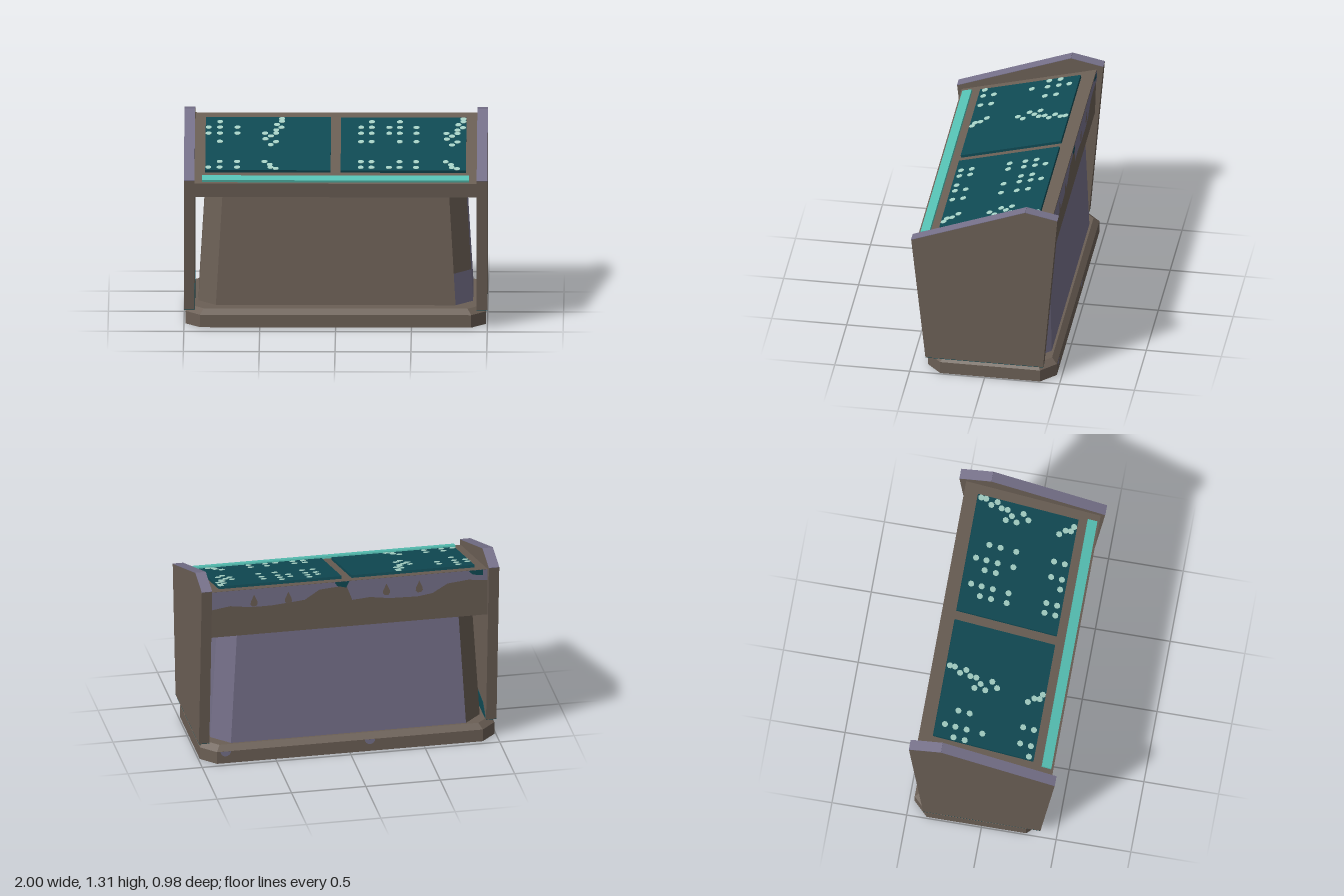
import * as THREE from 'three';

const mat = (name, color) => {
  const m = new THREE.MeshStandardMaterial({ color });
  m.name = name;
  return m;
};

const shapeOf = pts => new THREE.Shape(pts.map(([a, b]) => new THREE.Vector2(a, b)));

// Extrudes a [z, y] profile along x, centred on x = cx
function extrudeX(pts, width, cx = 0) {
  const g = new THREE.ExtrudeGeometry(shapeOf(pts), { depth: width, bevelEnabled: false });
  g.translate(0, 0, -width / 2);
  g.rotateY(-Math.PI / 2);
  g.translate(cx, 0, 0);
  return g;
}

// Octagonal outline: half width, front, back, corner cut
const octagon = ([y, X, F, B, c]) => [
  [X - c, y, F], [X, y, F - c], [X, y, B + c], [X - c, y, B],
  [c - X, y, B], [-X, y, B + c], [-X, y, F - c], [c - X, y, F],
];

// Joins octagonal rings; pick(level, side) gives the material index
function loft(rings, pick = () => 0) {
  const r = rings.map(octagon), pos = [], g = new THREE.BufferGeometry();
  const add = (index, ...p) => {
    g.addGroup(pos.length / 3, p.length, index);
    p.forEach(v => pos.push(...v));
  };
  for (let l = 0; l < r.length - 1; l++) {
    for (let i = 0; i < 8; i++) {
      const j = (i + 1) % 8, a = r[l][i], b = r[l][j], c = r[l + 1][j], d = r[l + 1][i];
      add(pick(l, i), a, b, c, a, c, d);
    }
  }
  const bottom = r[0], top = r[r.length - 1];
  for (let i = 1; i < 7; i++) {
    add(0, top[0], top[i], top[i + 1]);
    add(0, bottom[0], bottom[i + 1], bottom[i]);
  }
  g.setAttribute('position', new THREE.Float32BufferAttribute(pos, 3));
  g.computeVertexNormals();
  return g;
}

export function createModel() {
  const brown = mat('brown casing', 0x6b5f55);
  const purple = mat('purple grey metal', 0x76718a);
  const screenTeal = mat('dark teal screen', 0x0f4a54);
  const stripTeal = mat('bright teal strip', 0x56c2b5);
  const pale = mat('pale green marks', 0xa6d2c6);

  const model = new THREE.Group();
  const add = (name, geometry, material, parent = model) => {
    const m = new THREE.Mesh(geometry, material);
    m.name = name;
    parent.add(m);
    return m;
  };

  // Base plinth with bevelled upper rim
  add('base', loft([
    [0, 0.99, 0.395, -0.465, 0.097],
    [0.085, 0.99, 0.395, -0.465, 0.097],
    [0.12, 0.955, 0.36, -0.43, 0.085],
  ]), [brown]);

  // Tapered pedestal; back and one flank are bare metal
  const low = [0.12, 0.905, 0.275, -0.415, 0.115];
  const high = [0.91, 0.857, 0.215, -0.39, 0.113];
  const mid = low.map((v, i) => THREE.MathUtils.lerp(v, high[i], 0.267));
  add('pedestal', loft([low, mid, high],
    (level, side) => (side >= 1 && side <= 3) || (side === 0 && level === 0) ? 1 : 0), [brown, purple]);

  // Side panels with metal top edges and teal undersides
  const outline = [[0.395, 0.12], [0.49, 1.025], [-0.27, 1.31], [-0.485, 1.265], [-0.39, 0.12]];
  const edgePlate = ([a, b], [c, d], t) => {
    const n = new THREE.Vector2(b - d, c - a).normalize().multiplyScalar(t);
    if (n.y * t < 0) n.negate();
    return [[a, b], [c, d], [c + n.x, d + n.y], [a + n.x, b + n.y]];
  };
  for (const s of [-1, 1]) {
    const panel = new THREE.Group();
    panel.name = s > 0 ? 'leftSidePanel' : 'rightSidePanel';
    const x = s * 0.965;
    add('panelBody', extrudeX(outline, 0.07, x), brown, panel);
    add('slopedTopEdge', extrudeX(edgePlate(outline[1], outline[2], 0.003), 0.07, x), purple, panel);
    add('rearTopEdge', extrudeX(edgePlate(outline[2], outline[3], 0.003), 0.07, x), purple, panel);
    add('underside', extrudeX([[0.395, 0.117], [0.395, 0.12], [-0.39, 0.12], [-0.39, 0.117]], 0.07, x), screenTeal, panel);
    model.add(panel);
  }
  add('innerPanelPatch', extrudeX([
    [0.395, 0.12], [0.408, 0.26], [0.32, 0.25], [0.22, 0.23], [0.1, 0.24],
    [-0.1, 0.22], [-0.3, 0.2], [-0.36, 0.15], [-0.375, 0.12],
  ], 0.004, -0.929), screenTeal);

  // Wedge-shaped console
  add('console', extrudeX([[0.45, 0.905], [0.46, 1.0], [-0.44, 1.24], [-0.43, 0.905]], 1.86), brown);

  // Everything on the sloping desk, placed by its plan position
  const desk = new THREE.Group();
  desk.name = 'desk';
  const slope = Math.atan2(0.24, 0.9), stretch = 1 / Math.cos(slope);
  desk.position.set(0, 1.12, 0.01);
  desk.rotation.x = slope;
  model.add(desk);
  const onDesk = (mesh, x, y, z) => mesh.position.set(x, y, (z - 0.01) * stretch);

  for (const x of [-0.447, 0.445]) {
    onDesk(add('screen', new THREE.BoxGeometry(0.826, 0.018, 0.67 * stretch), screenTeal, desk), x, 0.009, -0.015);
  }
  onDesk(add('lightStrip', new THREE.BoxGeometry(1.76, 0.016, 0.062 * stretch), stripTeal, desk), 0, 0.008, 0.412);

  // Screen marks, row by row: [z, x positions]
  const dotGeo = new THREE.CylinderGeometry(0.021, 0.021, 0.004, 8);
  dotGeo.rotateY(Math.PI / 8);
  const dot = (x, z) => onDesk(add('screenMark', dotGeo, pale, desk), x, 0.019, z);
  const rows = [
    [-0.29, [-0.765, 0.235, 0.42]],
    [-0.22, [-0.84, -0.765, -0.65, 0.165, 0.235, 0.35, 0.42, 0.53]],
    [-0.145, [-0.84, -0.765, -0.65, 0.165, 0.235, 0.35, 0.42, 0.53]],
    [-0.04, [-0.765, 0.165, 0.235, 0.42, 0.53]],
    [0.213, [-0.765, -0.65, 0.165, 0.235, 0.42, 0.53]],
    [0.285, [-0.84, -0.765, -0.65, 0.165, 0.235, 0.35, 0.42, 0.53]],
  ];
  rows.forEach(([z, xs]) => xs.forEach(x => dot(x, z)));

  // Winding trace repeated on both screens
  const trace = [
    [-0.357, -0.328], [-0.357, -0.295], [-0.39, -0.255], [-0.36, -0.218], [-0.395, -0.185], [-0.395, -0.145],
    [-0.43, -0.11], [-0.468, -0.145], [-0.465, -0.073], [-0.395, -0.038], [-0.43, 0],
    [-0.47, 0.213], [-0.435, 0.25], [-0.43, 0.285], [-0.395, 0.3],
  ];
  trace.forEach(([x, z]) => { dot(x, z); dot(x + 1.195, z); });

  // Flat plates on the rear, drawn as seen from behind
  const rearPlate = (name, geometry, material, x, y, z) => {
    const m = add(name, geometry, material);
    m.rotation.y = Math.PI;
    m.position.set(x, y, z);
    return m;
  };
  const worn = [
    [-0.93, 0], [-0.93, -0.13], [-0.8, -0.11], [-0.66, -0.13], [-0.52, -0.13], [-0.3, -0.11], [-0.2, -0.045],
    [-0.02, -0.03], [0.02, -0.14], [0.14, -0.13], [0.27, -0.15], [0.46, -0.155], [0.56, -0.14],
    [0.66, -0.08], [0.8, -0.065], [0.93, -0.08], [0.93, 0],
  ];
  rearPlate('rearWornMetal', new THREE.ShapeGeometry(shapeOf(worn)), purple, 0, 1.24, -0.443);
  rearPlate('rearTealPatch', new THREE.ShapeGeometry(shapeOf([[-0.1, 0], [-0.08, -0.03], [-0.02, -0.045], [0, 0]])), screenTeal, 0, 1.24, -0.445);
  rearPlate('rearTealPatch', new THREE.ShapeGeometry(shapeOf([[0.8, 0], [0.83, -0.03], [0.9, -0.04], [0.9, 0]])), screenTeal, 0, 1.24, -0.445);
  const drop = new THREE.ShapeGeometry(shapeOf([
    [0, 0.05], [-0.022, 0], [-0.024, -0.02], [-0.012, -0.035], [0.012, -0.035], [0.024, -0.02], [0.022, 0],
  ]));
  for (const x of [0.64, 0.41, -0.25, -0.47]) rearPlate('rearDrop', drop, brown, x, 1.15, -0.445);

  // Chipped spots on the rear rim of the base
  const chip = new THREE.CircleGeometry(0.035, 8, Math.PI, Math.PI);
  for (const x of [0.835, -0.135]) rearPlate('baseChip', chip, purple, x, 0.085, -0.467);

  return model;
}
